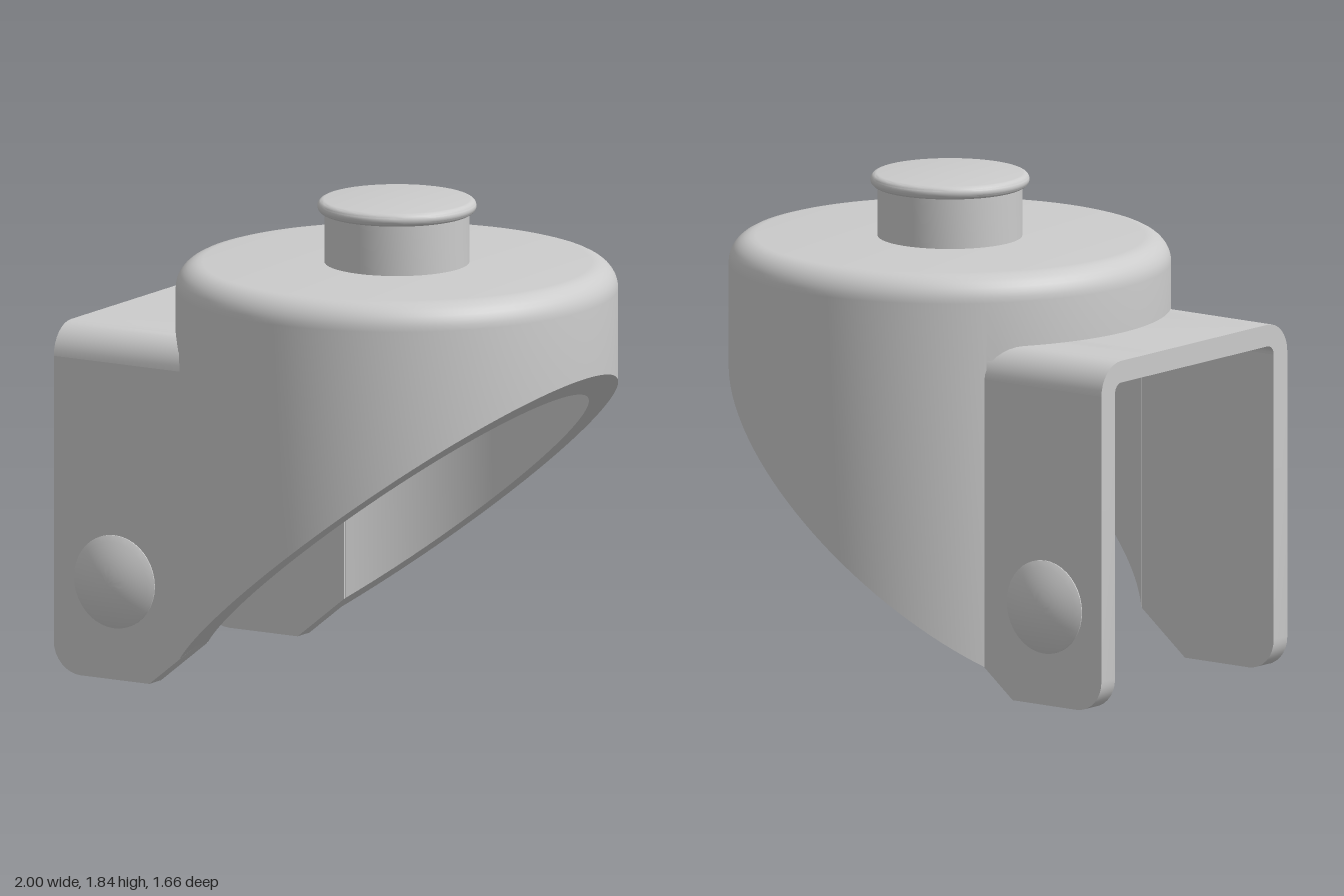
import * as THREE from 'three';
import { toCreasedNormals } from 'three/addons/utils/BufferGeometryUtils.js';

const CX = 0.165;            // axis of the hood
const R_OUT = 0.83, R_IN = 0.72;
const TOP = 1.6, FILLET = 0.1, CEILING = 1.49;
const LEG_IN = 0.482, LEG_OUT = 0.565, BRIDGE_TOP = 1.33;
const slopeY = (x) => 1.24 - (0.995 - x) * 0.786; // slanted underside

const material = new THREE.MeshStandardMaterial({ color: 0xcccccc });

function part(name, geometry, crease = 0.6) {
  const mesh = new THREE.Mesh(toCreasedNormals(geometry, crease), material);
  mesh.name = name;
  return mesh;
}

// Points on an arc, for rounded corners
function arc(cx, cy, r, from, to, n = 8) {
  return Array.from({ length: n + 1 }, (_, i) => {
    const a = from + ((to - from) * i) / n;
    return new THREE.Vector2(cx + r * Math.cos(a), cy + r * Math.sin(a));
  });
}

// Hollow round cap, cut by the slanted plane and opened between the legs
function hoodGeometry() {
  const gap = 0.74;
  const columns = [];
  for (let i = 0; i <= 24; i++) columns.push([-gap + (2 * gap * i) / 24, true]);
  for (let i = 0; i <= 96; i++) columns.push([gap + ((2 * Math.PI - 2 * gap) * i) / 96, false]);
  columns.push([2 * Math.PI - gap, true]);

  const rings = columns.map(([phi, open]) => {
    const at = (r, y) => new THREE.Vector3(CX - r * Math.cos(phi), y, r * Math.sin(phi));
    const bottom = (r) => (open ? 1.28 : slopeY(CX - r * Math.cos(phi)));
    return [
      at(R_IN, bottom(R_IN)),
      at(R_OUT, bottom(R_OUT)),
      ...arc(R_OUT - FILLET, TOP - FILLET, FILLET, 0, Math.PI / 2).map((p) => at(p.x, p.y)),
      at(0, TOP),
      at(0, CEILING),
      at(R_IN, CEILING),
    ];
  });

  const positions = [];
  const tri = new THREE.Triangle();
  const add = (a, b, c) => {
    if (tri.set(a, b, c).getArea() < 1e-7) return;
    for (const p of [a, b, c]) positions.push(p.x, p.y, p.z);
  };
  for (let i = 0; i < rings.length - 1; i++) {
    const p = rings[i], q = rings[i + 1];
    for (let j = 0; j < p.length; j++) {
      const k = (j + 1) % p.length;
      add(p[j], q[j], p[k]);
      add(p[k], q[j], q[k]);
    }
  }
  const geometry = new THREE.BufferGeometry();
  geometry.setAttribute('position', new THREE.Float32BufferAttribute(positions, 3));
  return geometry;
}

// Top of the fork: an inverted U whose inner end follows the hood wall
function bridgeGeometry() {
  const ro = 0.12, ri = ro - (LEG_OUT - LEG_IN);
  const y = BRIDGE_TOP - ro;
  const half = LEG_OUT - ro;
  const flat = (h, dir) => Array.from({ length: 15 }, (_, i) =>
    new THREE.Vector2(dir * half * (1 - (i + 1) / 8), h));
  const points = [
    ...arc(half, y, ro, 0, Math.PI / 2),
    ...flat(BRIDGE_TOP, 1),
    ...arc(-half, y, ro, Math.PI / 2, Math.PI),
    ...arc(-half, y, ri, Math.PI, Math.PI / 2),
    ...flat(y + ri, -1),
    ...arc(half, y, ri, Math.PI / 2, 0),
  ];
  const geometry = new THREE.ExtrudeGeometry(new THREE.Shape(points), { depth: 1, bevelEnabled: false });
  geometry.rotateY(Math.PI / 2);
  const pos = geometry.attributes.position;
  for (let i = 0; i < pos.count; i++) {
    const z = Math.min(Math.abs(pos.getZ(i)), LEG_IN);
    const end = CX - Math.sqrt(0.722 ** 2 - z * z);
    pos.setX(i, pos.getX(i) < 0.5 ? -1 : end);
  }
  return geometry;
}

// Fork side plate with one rounded corner and a slanted toe
function legGeometry() {
  const end = -0.372, y = BRIDGE_TOP - 0.12;
  const shape = new THREE.Shape([
    new THREE.Vector2(end, y),
    new THREE.Vector2(-1, y),
    ...arc(-0.88, 0.12, 0.12, Math.PI, Math.PI * 1.5),
    new THREE.Vector2(-0.577, 0),
    new THREE.Vector2(end, slopeY(end)),
  ]);
  return new THREE.ExtrudeGeometry(shape, { depth: LEG_OUT - LEG_IN, bevelEnabled: false });
}

// Shallow domed axle head
function rivetGeometry() {
  const profile = [new THREE.Vector2(0.178, -0.01), new THREE.Vector2(0.178, 0.004)];
  for (let i = 0; i <= 10; i++) {
    const r = 0.172 * (1 - i / 10);
    profile.push(new THREE.Vector2(r, 0.008 + 0.048 * (1 - (r / 0.172) ** 2)));
  }
  return new THREE.LatheGeometry(profile, 40);
}

// Mounting stem with a rounded rim
function stemGeometry() {
  const profile = [
    new THREE.Vector2(0.272, TOP - 0.03),
    new THREE.Vector2(0.272, 1.79),
    ...arc(0.274, 1.815, 0.025, -Math.PI / 2, Math.PI / 2, 10),
    new THREE.Vector2(0, 1.84),
  ];
  return new THREE.LatheGeometry(profile, 48);
}

export function createModel() {
  const model = new THREE.Group();
  model.name = 'casterHousing';

  model.add(part('hood', hoodGeometry()));
  model.add(part('forkBridge', bridgeGeometry()));

  for (const side of [1, -1]) {
    const label = side > 0 ? 'front' : 'back';
    const leg = part(label + 'ForkLeg', legGeometry());
    leg.position.z = side > 0 ? LEG_IN : -LEG_OUT;
    const rivet = part(label + 'AxleHead', rivetGeometry());
    rivet.rotation.x = (side * Math.PI) / 2;
    rivet.position.set(-0.73, 0.375, side * LEG_OUT);
    model.add(leg, rivet);
  }

  const stem = part('stem', stemGeometry());
  stem.position.x = CX;
  model.add(stem);
  return model;
}
